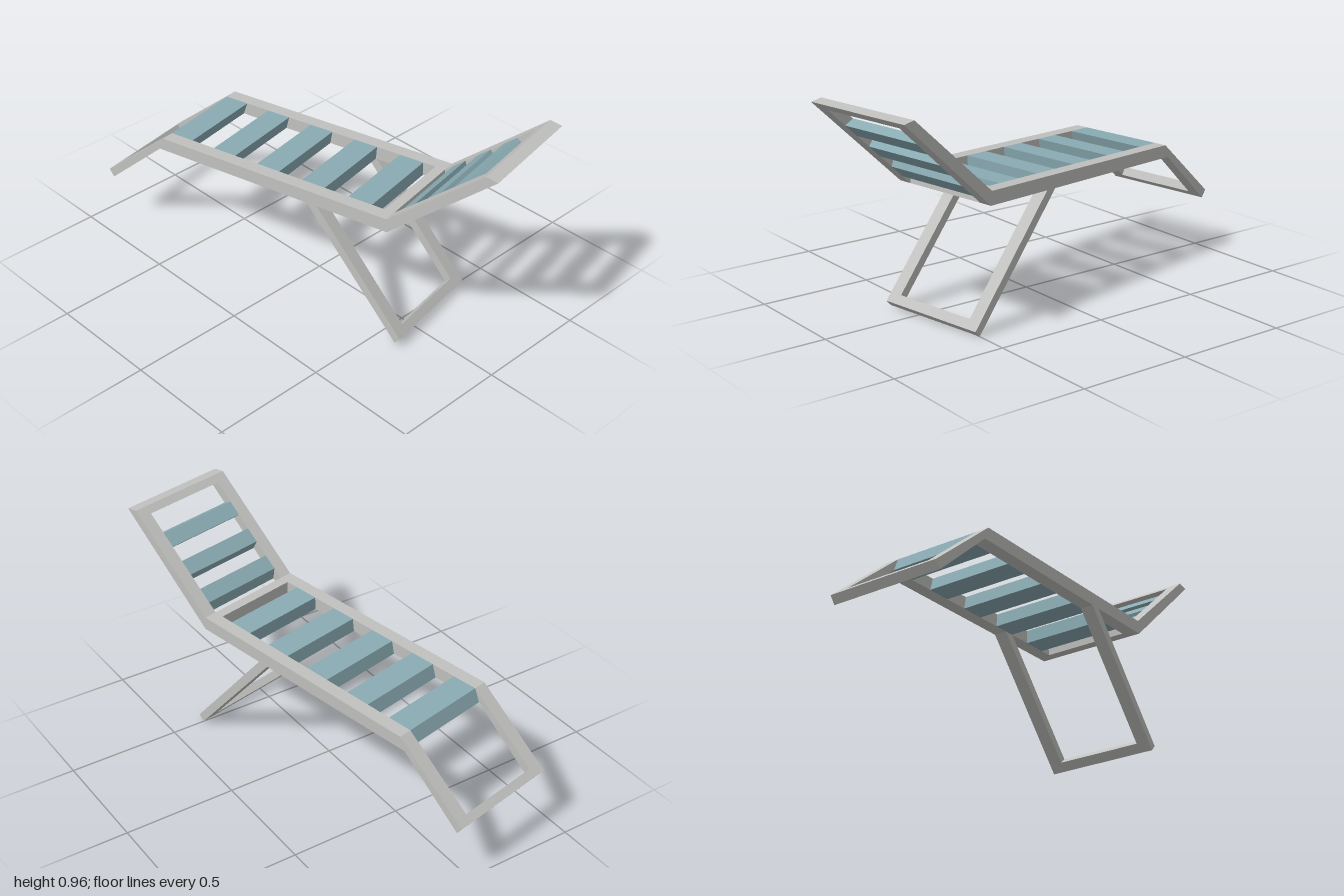
import * as THREE from 'three';

const HALF = 0.252; // half the frame width
const RAIL = 0.058; // rail width

export function createModel() {
  const frameGrey = new THREE.MeshStandardMaterial({ color: 0xc0c0be });
  frameGrey.name = 'frameGrey';
  const slatBlue = new THREE.MeshStandardMaterial({ color: 0x8aabb3 });
  slatBlue.name = 'slatBlue';

  const model = new THREE.Group();
  model.name = 'sunLounger';
  // the lounger stands turned and leans very slightly sideways
  model.rotation.set(-0.02, 0.197, 0, 'YXZ');
  model.position.set(0, 0.002, 0.008);

  // side profile of each section: upper and lower edge, start to end
  const sections = {
    footrest: { top: [[-0.97, 0.28], [-0.642, 0.556]], bottom: [[-0.946, 0.247], [-0.665, 0.498]] },
    seat: { top: [[-0.642, 0.556], [0.495, 0.595]], bottom: [[-0.665, 0.498], [0.5, 0.535]] },
    backrest: { top: [[0.495, 0.595], [0.917, 0.955]], bottom: [[0.5, 0.535], [0.97, 0.947]] },
    leg: { top: [[0.16, 0.527], [0.585, 0.031]], bottom: [[0.11, 0.525], [0.56, 0.005]] },
  };

  const at = ([a, b], t) => new THREE.Vector2(a[0] + (b[0] - a[0]) * t, a[1] + (b[1] - a[1]) * t);

  // a piece of a section between fractions t0..t1, spanning z0..z1
  function piece(group, name, section, t0, t1, z0, z1, material) {
    const shape = new THREE.Shape([
      at(section.bottom, t0), at(section.bottom, t1), at(section.top, t1), at(section.top, t0),
    ]);
    const geometry = new THREE.ExtrudeGeometry(shape, { depth: z1 - z0, bevelEnabled: false });
    geometry.translate(0, 0, z0);
    const mesh = new THREE.Mesh(geometry, material);
    mesh.name = name;
    group.add(mesh);
  }

  // cross pieces: fractions along each section
  const inner = HALF - RAIL;
  const bars = {
    footrest: [[0, 0.09]],
    seat: [[0.96, 1]],
    backrest: [[0.93, 1]],
    leg: [[0.935, 1]],
  };
  const slats = {
    seat: [0, 1, 2, 3, 4].map((i) => [i * 0.202, i * 0.202 + 0.1]),
    backrest: [0, 1, 2].map((i) => [0.092 + i * 0.262, 0.22 + i * 0.262]),
  };

  for (const [name, section] of Object.entries(sections)) {
    const group = new THREE.Group();
    group.name = name;
    piece(group, name + 'LeftRail', section, 0, 1, inner, HALF, frameGrey);
    piece(group, name + 'RightRail', section, 0, 1, -HALF, -inner, frameGrey);
    for (const [a, b] of bars[name]) piece(group, name + 'CrossBar', section, a, b, -inner, inner, frameGrey);
    for (const [a, b] of slats[name] || []) piece(group, name + 'Slat', section, a, b, -inner, inner, slatBlue);
    model.add(group);
  }

  const root = new THREE.Group();
  root.name = 'lounger';
  root.add(model);
  return root;
}
